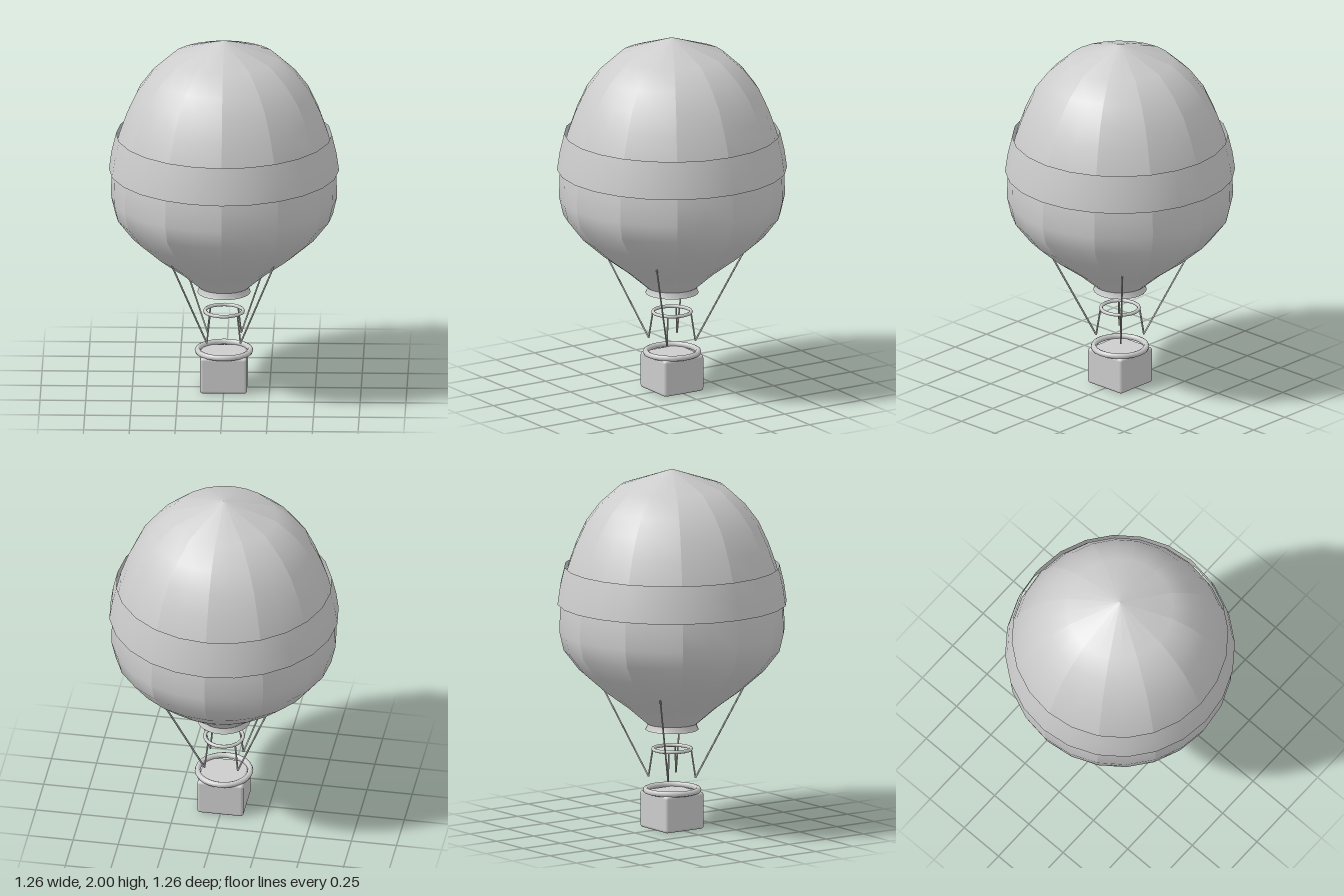
import * as THREE from 'three';
import { RoundedBoxGeometry } from 'three/addons/geometries/RoundedBoxGeometry.js';

export function createModel() {
  const model = new THREE.Group();
  model.name = 'hotAirBalloon';
  const grey = new THREE.MeshStandardMaterial({ color: 0xcccccc, side: THREE.DoubleSide });
  grey.name = 'light grey';

  const add = (name, geometry, parent = model) => {
    const mesh = new THREE.Mesh(geometry, grey);
    mesh.name = name;
    parent.add(mesh);
    return mesh;
  };
  const profile = (pairs) => pairs.map(([r, y]) => new THREE.Vector2(r, y));

  // Envelope: twelve gores, each smooth inside with a soft seam between them
  const envelope = new THREE.Group();
  envelope.name = 'envelope';
  model.add(envelope);
  const outline = profile([
    [0.14, 0.585], [0.25, 0.68], [0.385, 0.78], [0.51, 0.89], [0.595, 1.0], [0.618, 1.1],
    [0.615, 1.22], [0.6, 1.34], [0.572, 1.46], [0.53, 1.58], [0.475, 1.7], [0.4, 1.8],
    [0.29, 1.9], [0, 2.0],
  ]);
  const gores = 12;
  const step = (Math.PI * 2) / gores;
  for (let i = 0; i < gores; i++) {
    const gore = new THREE.LatheGeometry(outline, 2, i * step, step);
    gore.computeVertexNormals();
    add('gore', gore, envelope);
  }

  // Flared band around the envelope
  add('band', new THREE.LatheGeometry(profile([[0.629, 1.255], [0.615, 1.355], [0.59, 1.46]]), 24));

  // Open skirt at the mouth
  add('skirt', new THREE.LatheGeometry(profile([[0.146, 0.55], [0.139, 0.565], [0.134, 0.588]]), 24));

  // Load ring and basket rim
  const hoop = (name, radius, tube, y) => {
    const mesh = add(name, new THREE.TorusGeometry(radius, tube, 8, 32));
    mesh.rotation.x = Math.PI / 2;
    mesh.position.y = y;
  };
  hoop('loadRing', 0.104, 0.01, 0.44);
  hoop('basketRim', 0.144, 0.016, 0.213);

  // Ropes at the four corners
  const rope = (name, a, b) => {
    const mesh = add(name, new THREE.CylinderGeometry(0.005, 0.005, a.distanceTo(b), 6));
    mesh.position.copy(a).lerp(b, 0.5);
    mesh.quaternion.setFromUnitVectors(new THREE.Vector3(0, 1, 0), b.clone().sub(a).normalize());
  };
  for (const sx of [-1, 1]) {
    for (const sz of [-1, 1]) {
      const at = (d, y) => new THREE.Vector3(sx * d, y, sz * d);
      rope('longRope', at(0.092, 0.283), at(0.28, 0.795));
      rope('shortRope', at(0.092, 0.283), at(0.075, 0.44));
    }
  }

  // Basket
  const basket = add('basket', new RoundedBoxGeometry(0.256, 0.205, 0.256, 3, 0.016));
  basket.position.y = 0.1065;

  // Rest the basket on the ground
  basket.position.y = 0.1025;
  return model;
}
